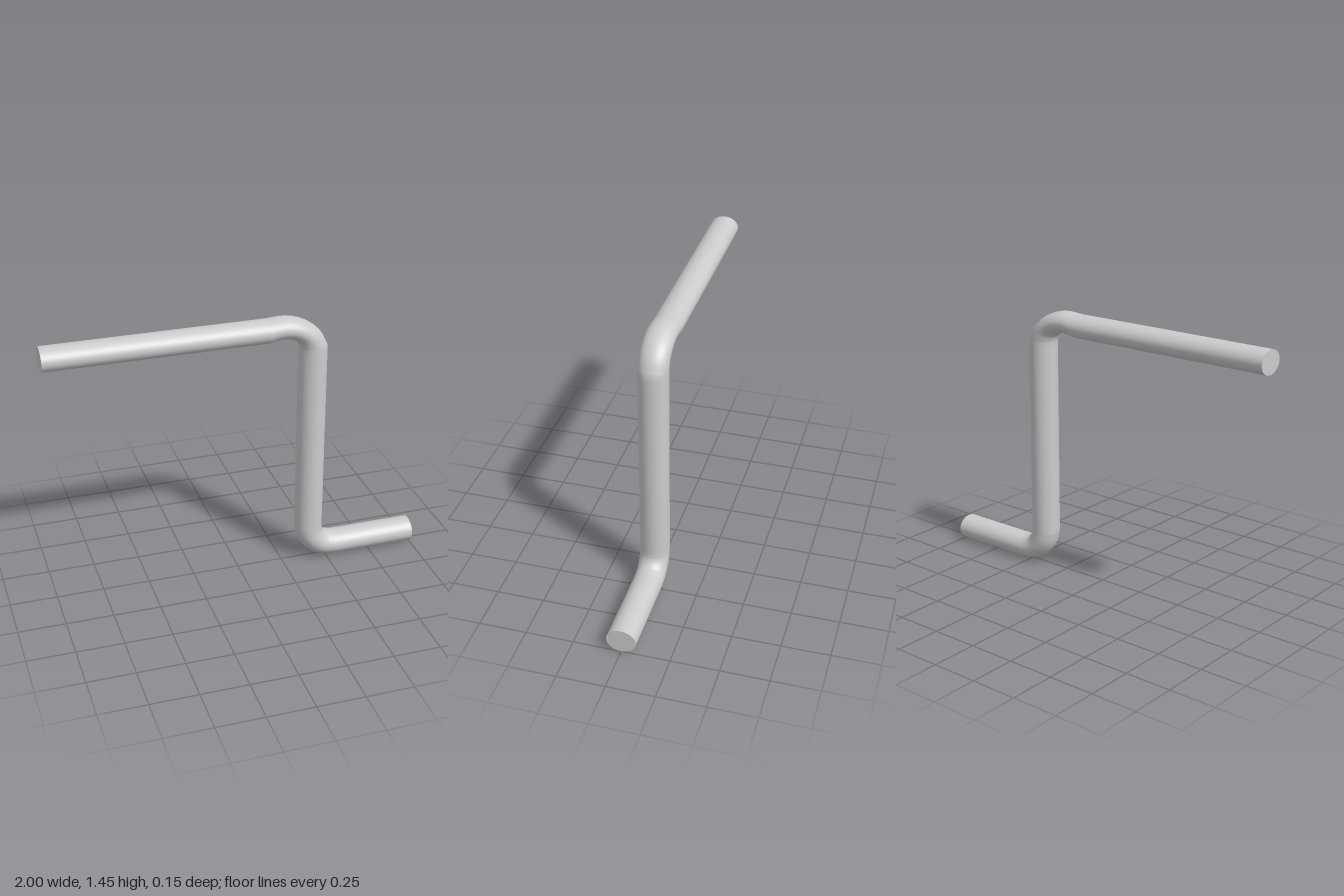
import * as THREE from 'three';

const SIDES = 48, DEPTH = 0.077;

// Outer and inner edges of each bend, as [x, y]
const upperA = [[0.16, 1.441], [0.2, 1.444], [0.25, 1.445], [0.31, 1.433], [0.38, 1.4], [0.44, 1.345], [0.477, 1.27]];
const upperB = [[0.16, 1.318], [0.19, 1.327], [0.22, 1.331], [0.26, 1.329], [0.295, 1.317], [0.317, 1.298], [0.327, 1.27]];
const lowerA = [[0.477, 0.2], [0.481, 0.175], [0.492, 0.155], [0.51, 0.14], [0.545, 0.131]];
const lowerB = [[0.327, 0.19], [0.345, 0.118], [0.39, 0.057], [0.455, 0.014], [0.545, 0]];

const smooth = (pts, n) =>
  new THREE.CatmullRomCurve3(pts.map(([x, y]) => new THREE.Vector3(x, y, 0))).getPoints(n).map((p) => [p.x, p.y]);

// Edge pairs (side A, side B) along the whole rod
function stations() {
  const n = 24;
  const a = [[-1, 1.441], [0.15, 1.441], ...smooth(upperA, n), [0.477, 1.24], [0.477, 0.23], ...smooth(lowerA, n), [0.57, 0.131], [1, 0.131]];
  const b = [[-1, 1.318], [0.15, 1.318], ...smooth(upperB, n), [0.327, 1.24], [0.327, 0.23], ...smooth(lowerB, n), [0.57, 0], [1, 0]];
  return a.map((p, i) => [p, b[i]]);
}

// Skin of oval rings, one per station
function rodGeometry() {
  const pos = [], index = [], rings = stations();
  rings.forEach(([a, b], i) => {
    for (let j = 0; j < SIDES; j++) {
      const t = (j / SIDES) * Math.PI * 2, k = (1 + Math.cos(t)) / 2;
      pos.push(b[0] + (a[0] - b[0]) * k, b[1] + (a[1] - b[1]) * k, DEPTH * Math.sin(t));
      if (i < rings.length - 1) {
        const p = i * SIDES + j, q = i * SIDES + ((j + 1) % SIDES);
        index.push(p, q, p + SIDES, q, q + SIDES, p + SIDES);
      }
    }
  });
  const g = new THREE.BufferGeometry();
  g.setAttribute('position', new THREE.Float32BufferAttribute(pos, 3));
  g.setIndex(index);
  g.computeVertexNormals();
  return g;
}

export function createModel() {
  const group = new THREE.Group();
  group.name = 'crankRod';
  const material = new THREE.MeshStandardMaterial({ color: 0xcccccc });

  const rod = new THREE.Mesh(rodGeometry(), material);
  rod.name = 'bentRod';
  group.add(rod);

  // Flat oval end caps
  for (const [name, x, low, high] of [['upperEndCap', -1, 1.318, 1.441], ['lowerEndCap', 1, 0, 0.131]]) {
    const cap = new THREE.Mesh(new THREE.CircleGeometry(1, SIDES), material);
    cap.name = name;
    cap.scale.set(DEPTH, (high - low) / 2, 1);
    cap.rotation.y = (x * Math.PI) / 2;
    cap.position.set(x, (low + high) / 2, 0);
    group.add(cap);
  }
  return group;
}
